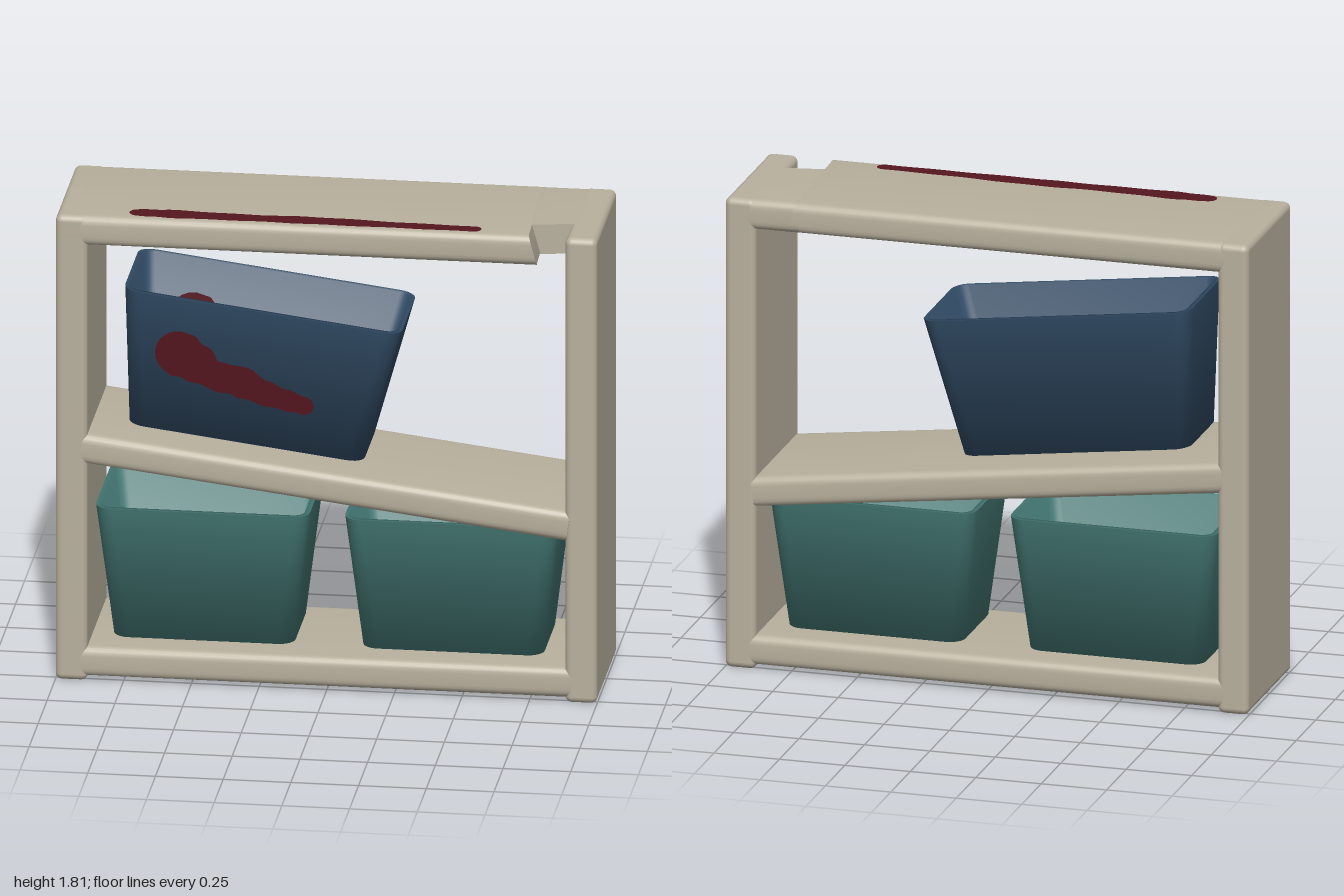
import * as THREE from 'three';
import { toCreasedNormals } from 'three/addons/utils/BufferGeometryUtils.js';
import { RoundedBoxGeometry } from 'three/addons/geometries/RoundedBoxGeometry.js';

const HALF_DEPTH = 0.283, TOP = 1.81, BOARD = 0.115;
const wood = new THREE.MeshStandardMaterial({ color: 0xb8b09d });
const teal = new THREE.MeshStandardMaterial({ color: 0x437672 });
const blue = new THREE.MeshStandardMaterial({ color: 0x304a63 });
const red = new THREE.MeshStandardMaterial({ color: 0x55161f, side: THREE.DoubleSide });

function add(parent, name, geometry, material) {
  const mesh = new THREE.Mesh(geometry, material);
  mesh.name = name;
  parent.add(mesh);
  return mesh;
}

// Moves every vertex by a rule, then rebuilds the normals
function reshape(geometry, rule) {
  const p = geometry.attributes.position, v = new THREE.Vector3();
  for (let i = 0; i < p.count; i++) {
    rule(v.fromBufferAttribute(p, i));
    p.setXYZ(i, v.x, v.y, v.z);
  }
  geometry.computeVertexNormals();
  return geometry;
}

// Horizontal board running along x, from 0 to length, with rounded long edges
function boardGeometry(length, zBack, zFront, rBack, rFront) {
  const l = -zFront, r = -zBack, b = 0, t = BOARD, s = new THREE.Shape();
  s.moveTo(l + rFront, b);
  s.lineTo(r - rBack, b);
  s.quadraticCurveTo(r, b, r, b + rBack);
  s.lineTo(r, t - rBack);
  s.quadraticCurveTo(r, t, r - rBack, t);
  s.lineTo(l + rFront, t);
  if (rFront > 0) s.quadraticCurveTo(l, t, l, t - rFront);
  s.lineTo(l, b + rFront);
  if (rFront > 0) s.quadraticCurveTo(l, b, l + rFront, b);
  const g = new THREE.ExtrudeGeometry(s, { depth: length, bevelEnabled: false, curveSegments: 5 });
  return g.rotateY(Math.PI / 2);
}

// Rounded rectangle loop, counter-clockwise seen from above
function loop(hw, hd, r, y) {
  const pts = [], n = 6;
  for (let c = 0; c < 4; c++) {
    const sx = c === 0 || c === 3 ? 1 : -1, sz = c < 2 ? -1 : 1;
    for (let i = 0; i <= n; i++) {
      const a = (c + i / n) * Math.PI / 2;
      pts.push([sx * (hw - r) + r * Math.cos(a), y, sz * (hd - r) - r * Math.sin(a)]);
    }
  }
  return pts;
}

// Open tapered bin: outer wall, rim, inner wall and floor joined from loops
function binGeometry({ bottom, top, h, wall }) {
  const at = (y, inset) => {
    const k = y / h;
    return loop(bottom[0] + (top[0] - bottom[0]) * k - inset,
      bottom[1] + (top[1] - bottom[1]) * k - inset, 0.06 - inset, y);
  };
  const rings = [at(0, 0), at(h, 0), at(h, wall), at(wall, wall)];
  const n = rings[0].length, pos = rings.flat(2), idx = [];
  for (let j = 0; j < rings.length - 1; j++) {
    for (let i = 0; i < n; i++) {
      const a = j * n + i, b = j * n + (i + 1) % n;
      idx.push(a, b, b + n, a, b + n, a + n);
    }
  }
  // underside and floor
  pos.push(0, 0, 0, 0, wall, 0);
  for (let i = 0; i < n; i++) {
    const k = (i + 1) % n;
    idx.push(4 * n, k, i, 4 * n + 1, 3 * n + i, 3 * n + k);
  }
  const g = new THREE.BufferGeometry();
  g.setAttribute('position', new THREE.Float32BufferAttribute(pos, 3));
  g.setIndex(idx);
  return toCreasedNormals(g, 1.6);
}

// Flat stain: a strip of varying half-width along a spine of [x, y, halfWidth]
function stainGeometry(spine, roundEnd) {
  const upper = [], lower = [];
  const curve = new THREE.CatmullRomCurve3(spine.map(p => new THREE.Vector3(...p)));
  const n = 40;
  for (let i = 0; i <= n; i++) {
    const t = i / n, p = curve.getPoint(t), d = curve.getTangent(t);
    const l = Math.hypot(d.x, d.y), w = p.z * (1 + 0.06 * Math.sin(t * 38));
    const nx = -d.y / l * w, ny = d.x / l * w;
    upper.push(new THREE.Vector2(p.x + nx, p.y + ny));
    lower.unshift(new THREE.Vector2(p.x - nx, p.y - ny));
  }
  // rounded caps at both ends
  const cap = (p, from) => Array.from({ length: 9 }, (_, i) => {
    const a = from - (i + 1) / 10 * Math.PI;
    return new THREE.Vector2(p[0] + Math.cos(a) * p[2], p[1] + Math.sin(a) * p[2]);
  });
  const pts = [...upper, ...cap(spine[spine.length - 1], Math.PI / 2 + roundEnd),
    ...lower, ...cap(spine[0], -Math.PI / 2 + roundEnd)];
  return new THREE.ShapeGeometry(new THREE.Shape(pts));
}

export function createModel() {
  const group = new THREE.Group();

  // Side panels
  for (const s of [-1, 1]) {
    const g = new RoundedBoxGeometry(0.118, TOP, 2 * HALF_DEPTH, 4, 0.025);
    add(group, s < 0 ? 'rightPanel' : 'leftPanel', g, wood).position.set(s * 0.941, TOP / 2, 0);
  }

  // Bottom board and sloping middle shelf
  const shelf = toCreasedNormals(boardGeometry(1.81, -HALF_DEPTH, HALF_DEPTH, 0.035, 0.035), 0.6);
  add(group, 'bottomBoard', shelf, wood).position.set(-0.905, 0.017, 0);
  const middle = add(group, 'slopingShelf', shelf, wood);
  middle.position.set(-0.91, 0.846, 0);
  middle.rotation.z = -0.122;

  // Top board, broken away at its front corner with a slanted face
  const main = reshape(boardGeometry(1.705, -HALF_DEPTH, HALF_DEPTH, 0.035, 0.035), v => {
    if (v.x > 1) v.x += (BOARD - v.y) * 0.26 + (v.z > 0.1 ? (v.z - 0.15) * 0.15 : 0);
  });
  add(group, 'topBoard', toCreasedNormals(main, 0.6), wood).position.set(-0.975, TOP - BOARD, 0);
  const stub = reshape(boardGeometry(0.26, -HALF_DEPTH, 0.15, 0.035, 0), v => {
    if (v.z > 0.1) v.z -= v.x * 0.18;
  });
  add(group, 'brokenCorner', toCreasedNormals(stub, 0.6), wood).position.set(0.715, TOP - BOARD - 0.0005, 0);

  // Stain along the front of the top board
  const topStain = stainGeometry([[-0.7, -0.213, 0.034], [-0.58, -0.213, 0.042], [-0.3, -0.217, 0.034],
    [-0.05, -0.215, 0.038], [0.25, -0.222, 0.03], [0.54, -0.226, 0.027]], 0);
  add(group, 'topStain', topStain.rotateX(-Math.PI / 2), red).position.y = TOP + 0.002;

  // Lower bins
  const small = binGeometry({ bottom: [0.335, 0.2], top: [0.395, 0.25], h: 0.515, wall: 0.02 });
  for (const x of [-0.465, 0.455]) {
    add(group, x < 0 ? 'rightBin' : 'leftBin', small, teal).position.set(x, 0.15, 0);
  }

  // Upper bin, tilted with the shelf
  const size = { bottom: [0.438, 0.19], top: [0.516, 0.23], h: 0.532, wall: 0.02 };
  const upper = new THREE.Group();
  upper.name = 'upperBin';
  upper.position.set(-0.31, 0.9225, 0);
  upper.rotation.z = -0.126;
  group.add(upper);
  add(upper, 'upperBinBody', binGeometry(size), blue);

  // Matching stains on the bin's front and on the inside of its back wall
  const spine = [[-0.55, 1.27, 0.09], [-0.49, 1.235, 0.08], [-0.42, 1.19, 0.058], [-0.33, 1.17, 0.062],
    [-0.24, 1.13, 0.05], [-0.16, 1.105, 0.042], [-0.09, 1.085, 0.036]];
  for (const front of [true, false]) {
    const g = stainGeometry(spine, -0.4).translate(0.31, -0.9225, 0).rotateZ(0.126);
    reshape(g, v => {
      const half = 0.19 + 0.04 * v.y / size.h;
      v.z = front ? half + 0.003 : size.wall - half + 0.003;
    });
    add(upper, front ? 'frontStain' : 'innerStain', g, red);
  }
  return group;
}
